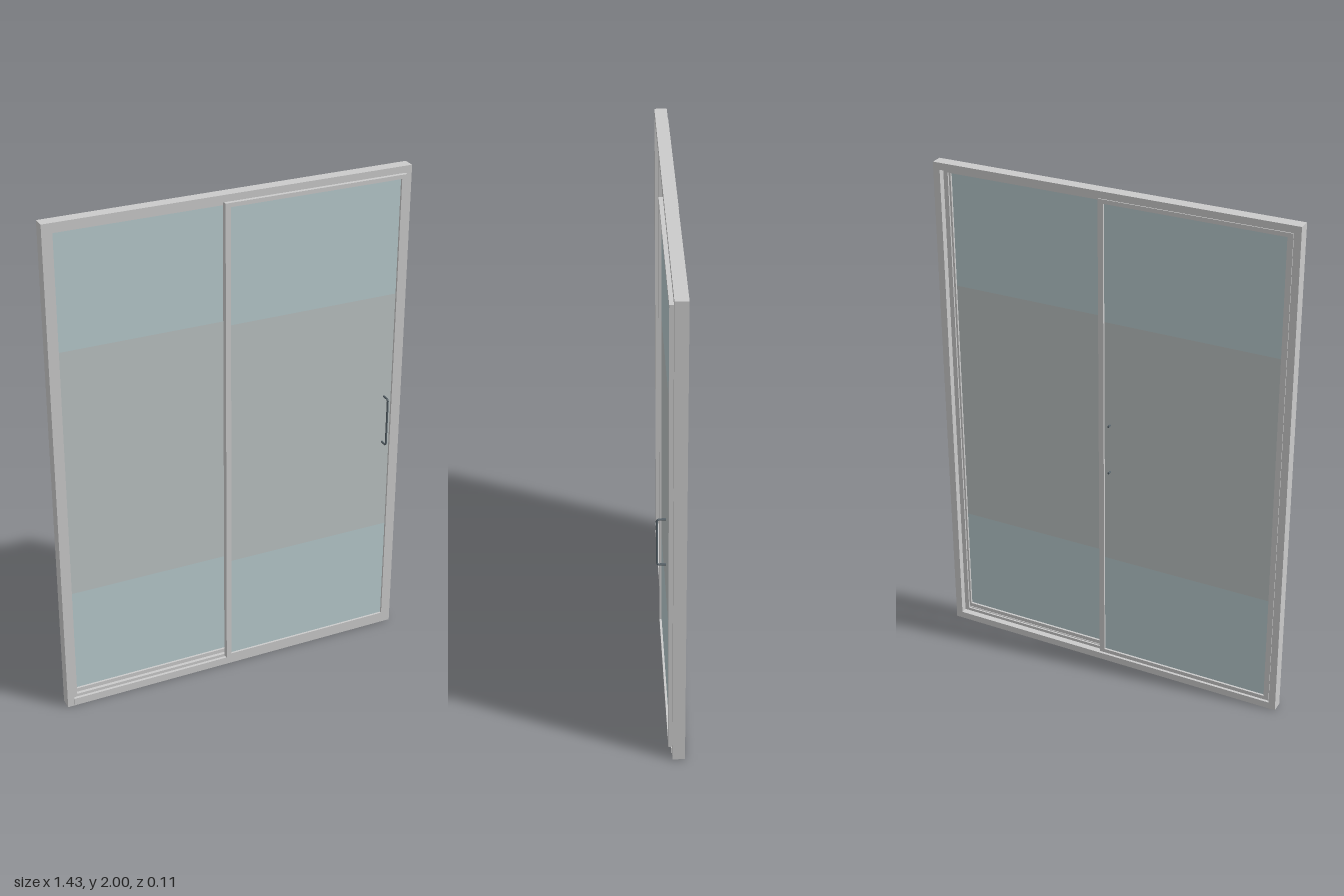
import * as THREE from 'three';

const metal = new THREE.MeshStandardMaterial({ color: 0xcccccc });
const glass = new THREE.MeshStandardMaterial({ color: 0xb8cbce });
const frosted = new THREE.MeshStandardMaterial({ color: 0xbcc3c3 });
const dark = new THREE.MeshStandardMaterial({ color: 0x58636a });

// Box given by its lower and upper limits on each axis
function box(name, [x0, x1], [y0, y1], [z0, z1], material = metal) {
  const mesh = new THREE.Mesh(new THREE.BoxGeometry(x1 - x0, y1 - y0, z1 - z0), material);
  mesh.position.set((x0 + x1) / 2, (y0 + y1) / 2, (z0 + z1) / 2);
  mesh.name = name;
  return mesh;
}

// Framed pane with a frosted band across the middle
function createPanel(name, [x0, x1], [z0, z1]) {
  const panel = new THREE.Group();
  panel.name = name;
  const y0 = 0.04, y1 = 1.973, w = 0.021, h = 0.016;
  const shape = new THREE.Shape([[x0, y0], [x1, y0], [x1, y1], [x0, y1]].map(p => new THREE.Vector2(...p)));
  shape.holes.push(new THREE.Path(
    [[x0 + w, y0 + h], [x0 + w, y1 - h], [x1 - w, y1 - h], [x1 - w, y0 + h]].map(p => new THREE.Vector2(...p))));
  const frame = new THREE.Mesh(
    new THREE.ExtrudeGeometry(shape, { depth: z1 - z0, bevelEnabled: false }), metal);
  frame.position.z = z0;
  frame.name = name + 'Frame';
  panel.add(frame);

  const mid = (z0 + z1) / 2, zs = [mid - 0.003, mid + 0.003], xs = [x0 + w, x1 - w];
  panel.add(
    box('lowerGlass', xs, [y0 + h, 0.49], zs, glass),
    box('frostedBand', xs, [0.49, 1.5], zs, frosted),
    box('upperGlass', xs, [1.5, y1 - h], zs, glass));
  return panel;
}

export function createModel() {
  const model = new THREE.Group();
  model.name = 'slidingDoor';
  const W = 0.717, inner = 0.69, depth = [-0.047, 0];

  // Outer frame
  model.add(
    box('header', [-W, W], [1.973, 2], depth),
    box('sill', [-inner, inner], [0, 0.028], depth),
    box('sillLip', [-inner, inner], [0.006, 0.034], [-0.004, 0.004]),
    box('sillTrack', [-inner, inner], [0.028, 0.04], [-0.022, -0.015]),
    box('headerTrack', [-inner, inner], [1.957, 1.973], [-0.022, -0.015]));
  for (const s of [-1, 1]) {
    const xs = [s * inner, s * W].sort((a, b) => a - b);
    const track = [s * 0.672, s * inner].sort((a, b) => a - b);
    model.add(
      box(s < 0 ? 'rightJamb' : 'leftJamb', xs, [0, 1.973], depth),
      box(s < 0 ? 'rightJambTrack' : 'leftJambTrack', track, [0.028, 1.973], [-0.022, -0.015]));
  }

  // Front and back panels, overlapping at the centre
  model.add(
    createPanel('frontPanel', [-0.042, inner], [-0.008, 0.015]),
    createPanel('backPanel', [-inner, 0.042], [-0.051, -0.028]));

  // Pull handle: a bent rod in front of the front panel
  const path = new THREE.CurvePath();
  const points = [[0.88, 0.022], [0.88, 0.048], [0.886, 0.053], [1.074, 0.053], [1.08, 0.048], [1.08, 0.022]]
    .map(([y, z]) => new THREE.Vector3(0.63, y, z));
  for (let i = 1; i < points.length; i++) path.add(new THREE.LineCurve3(points[i - 1], points[i]));
  const handle = new THREE.Mesh(new THREE.TubeGeometry(path, 60, 0.004, 10, false), dark);
  handle.name = 'pullHandle';
  model.add(handle);

  // Rod end caps and the small knobs on the back panel
  for (const y of [0.88, 1.08]) {
    const cap = new THREE.Mesh(new THREE.CylinderGeometry(0.004, 0.004, 0.002, 10), dark);
    cap.rotation.x = Math.PI / 2;
    cap.position.set(0.63, y, 0.022);
    cap.name = 'handleEnd';
    const knob = new THREE.Mesh(new THREE.CylinderGeometry(0.004, 0.004, 0.018, 12), dark);
    knob.rotation.x = Math.PI / 2;
    knob.position.set(-0.002, y, -0.049);
    knob.name = 'backKnob';
    model.add(cap, knob);
  }
  return model;
}
